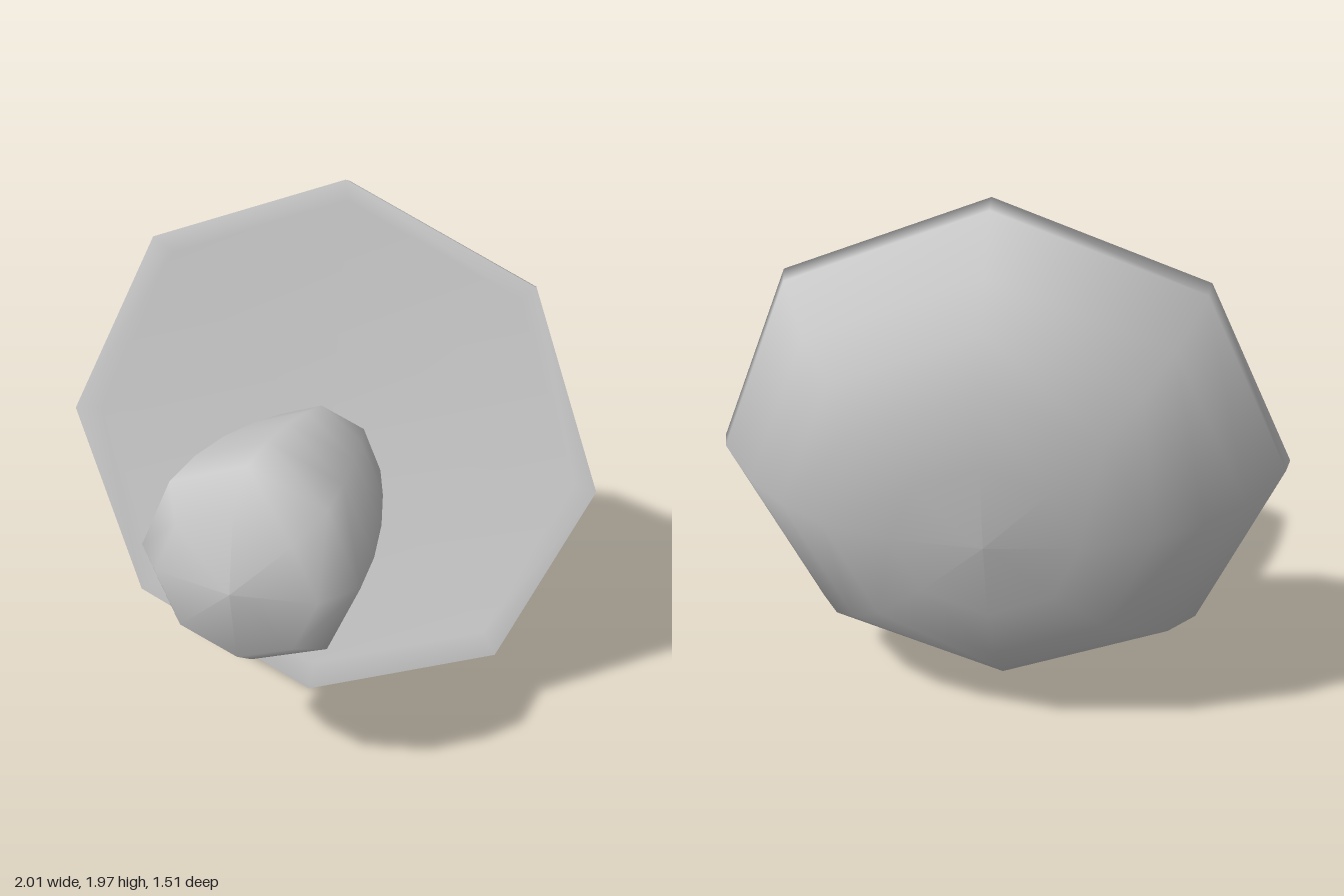
import * as THREE from 'three';

const SIDES = 8;

// Smooth eight-sided body turned from [radius, height] pairs
function turned(name, profile, material) {
  const points = profile.map(([r, h]) => new THREE.Vector2(r, h));
  const mesh = new THREE.Mesh(new THREE.LatheGeometry(points, SIDES), material);
  mesh.name = name;
  return mesh;
}

export function createModel() {
  const group = new THREE.Group();
  group.name = 'mushroom';
  const material = new THREE.MeshStandardMaterial({ color: 0xcccccc });

  // Cap: shallow recessed underside, thin rim, then the dome
  const cap = turned('cap', [
    [0, 0.06], [0.92, 0.05], [1.005, 0], [0.99, 0.06], [0.855, 0.25],
    [0.72, 0.367], [0.56, 0.462], [0.316, 0.525], [0, 0.55],
  ], material);
  cap.geometry.rotateY(0.01);
  cap.rotation.set(-Math.PI / 2 - 0.192, 0.05, 0, 'YXZ'); // dome to the back, leaning
  cap.position.set(0, 0.99, -0.175);
  group.add(cap);

  // Stem: lies along z, widening towards its rounded foot
  const stem = turned('stem', [
    [0, -0.29], [0.11, -0.265], [0.17, -0.23], [0.23, -0.16], [0.29, 0],
    [0.345, 0.19], [0.382, 0.39], [0.395, 0.58], [0.29, 0.71], [0, 0.76],
  ], material);
  stem.rotation.x = Math.PI / 2;
  stem.position.set(-0.013, 0.947, 0);
  group.add(stem);

  return group;
}
